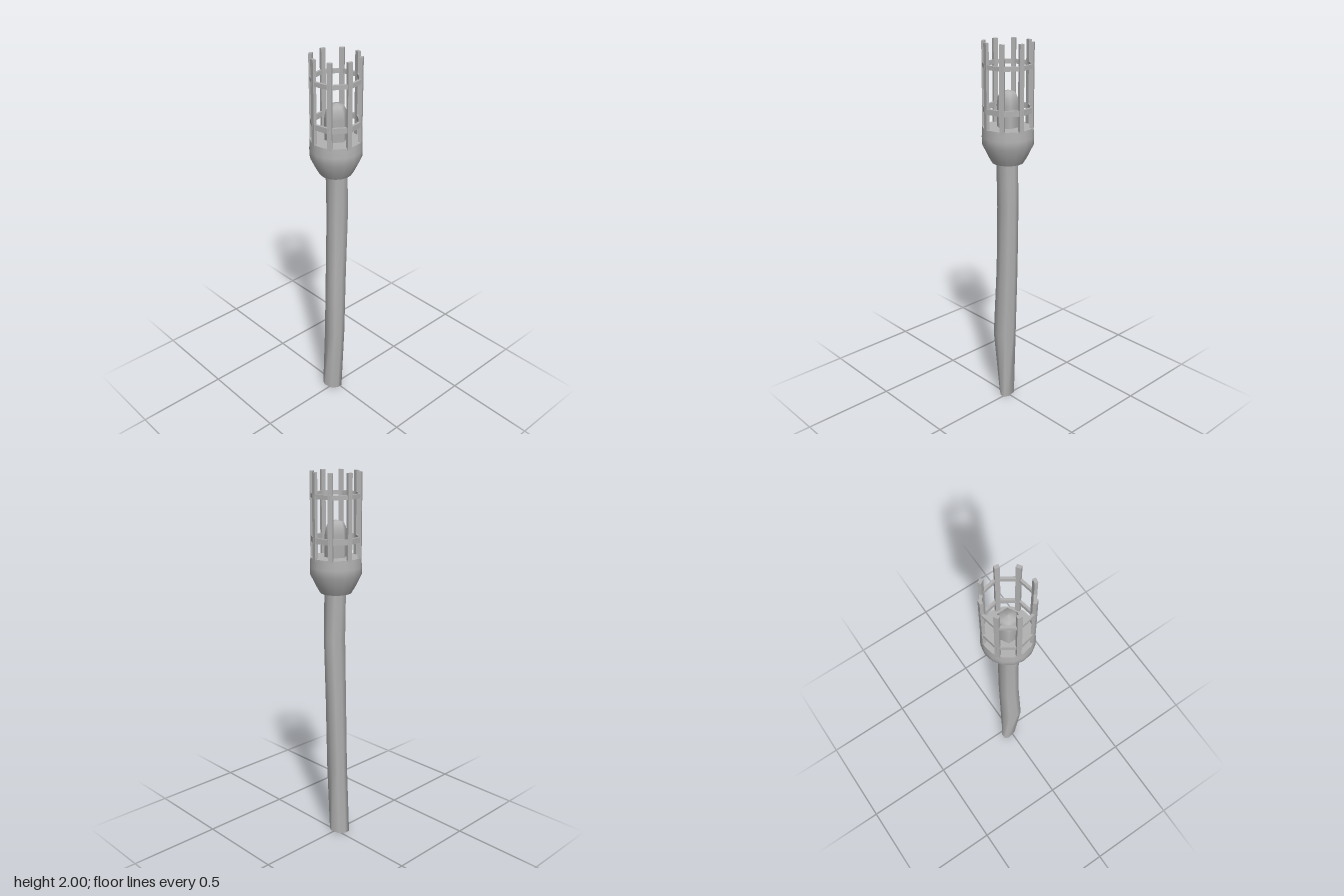
import * as THREE from 'three';

const grey = new THREE.MeshStandardMaterial({ color: 0xb2b2b2 });
grey.name = 'grey metal';

function add(group, name, geometry) {
  const mesh = new THREE.Mesh(geometry, grey);
  mesh.name = name;
  group.add(mesh);
  return mesh;
}

const lathe = (points, sides, start = 0) =>
  new THREE.LatheGeometry(points.map(([r, y]) => new THREE.Vector2(r, y)), sides, start);

function flat(geometry) {
  const g = geometry.toNonIndexed();
  g.computeVertexNormals();
  return g;
}

// Slightly crooked shaft: rounded-square sections [y, centre x, centre z, half x, half z, skew]
function handleGeometry() {
  const sections = [
    [0, -0.019, -0.01, 0.039, 0.05, 0.35],
    [0.4, -0.017, 0.008, 0.052, 0.053, -0.15],
    [0.8, -0.003, 0.003, 0.052, 0.048, -0.05],
    [1.15, 0.005, 0.005, 0.055, 0.045, 0],
    [1.42, 0, 0.005, 0.05, 0.05, 0],
  ];
  const sides = 8, positions = [], index = [];
  const soft = (v) => Math.sign(v) * Math.abs(v) ** 0.7;
  for (const [y, cx, cz, hx, hz, skew] of sections) {
    for (let j = 0; j < sides; j++) {
      const t = (j / sides) * Math.PI * 2;
      positions.push(cx + hx * soft(Math.cos(t)), y, cz + hz * soft(Math.sin(t + skew)));
    }
  }
  for (let i = 0; i < sections.length - 1; i++) {
    for (let j = 0; j < sides; j++) {
      const k = (j + 1) % sides;
      const a = i * sides + j, b = i * sides + k, c = a + sides, d = b + sides;
      index.push(a, c, b, b, c, d);
    }
  }
  // Bottom cap with its own corners, so its edge stays sharp
  const base = positions.length / 3;
  positions.push(...positions.slice(0, sides * 3));
  for (let j = 1; j < sides - 1; j++) index.push(base, base + j, base + j + 1);
  const g = new THREE.BufferGeometry();
  g.setAttribute('position', new THREE.Float32BufferAttribute(positions, 3));
  g.setIndex(index);
  g.computeVertexNormals();
  return g;
}

export function createModel() {
  const torch = new THREE.Group();
  torch.name = 'torch';

  add(torch, 'handle', handleGeometry());

  // Cup at the head, closed above and below
  add(torch, 'cup', lathe([[0.082, 1.395], [0.1, 1.425], [0.132, 1.49], [0.132, 1.53], [0.129, 1.58]], 16));
  add(torch, 'cupFloor', lathe([[0.129, 1.58], [0, 1.58]], 16));
  add(torch, 'cupUnderside', lathe([[0, 1.395], [0.082, 1.395]], 16));

  // Six-sided core with a rounded tip
  add(torch, 'core', lathe([[0.058, 1.58], [0.058, 1.69], [0.053, 1.725], [0.04, 1.755], [0, 1.765]], 6));

  // Cage of eight upright bars and two hoops
  const cage = new THREE.Group();
  cage.name = 'cage';
  torch.add(cage);
  const turn = THREE.MathUtils.degToRad(-11.5);
  const barShape = new THREE.BoxGeometry(0.024, 0.43, 0.016);
  for (let i = 0; i < 8; i++) {
    const a = turn + (i * Math.PI) / 4;
    const bar = add(cage, 'cageBar', barShape);
    bar.position.set(0.122 * Math.sin(a), 1.785, 0.122 * Math.cos(a));
    bar.rotation.y = a;
  }
  for (const [y, h] of [[1.67, 0.028], [1.885, 0.022]]) {
    const lo = y - h / 2, hi = y + h / 2, ri = 0.117, ro = 0.131;
    add(cage, 'cageHoop', flat(lathe([[ri, lo], [ro, lo], [ro, hi], [ri, hi], [ri, lo]], 8, turn)));
  }

  return torch;
}
